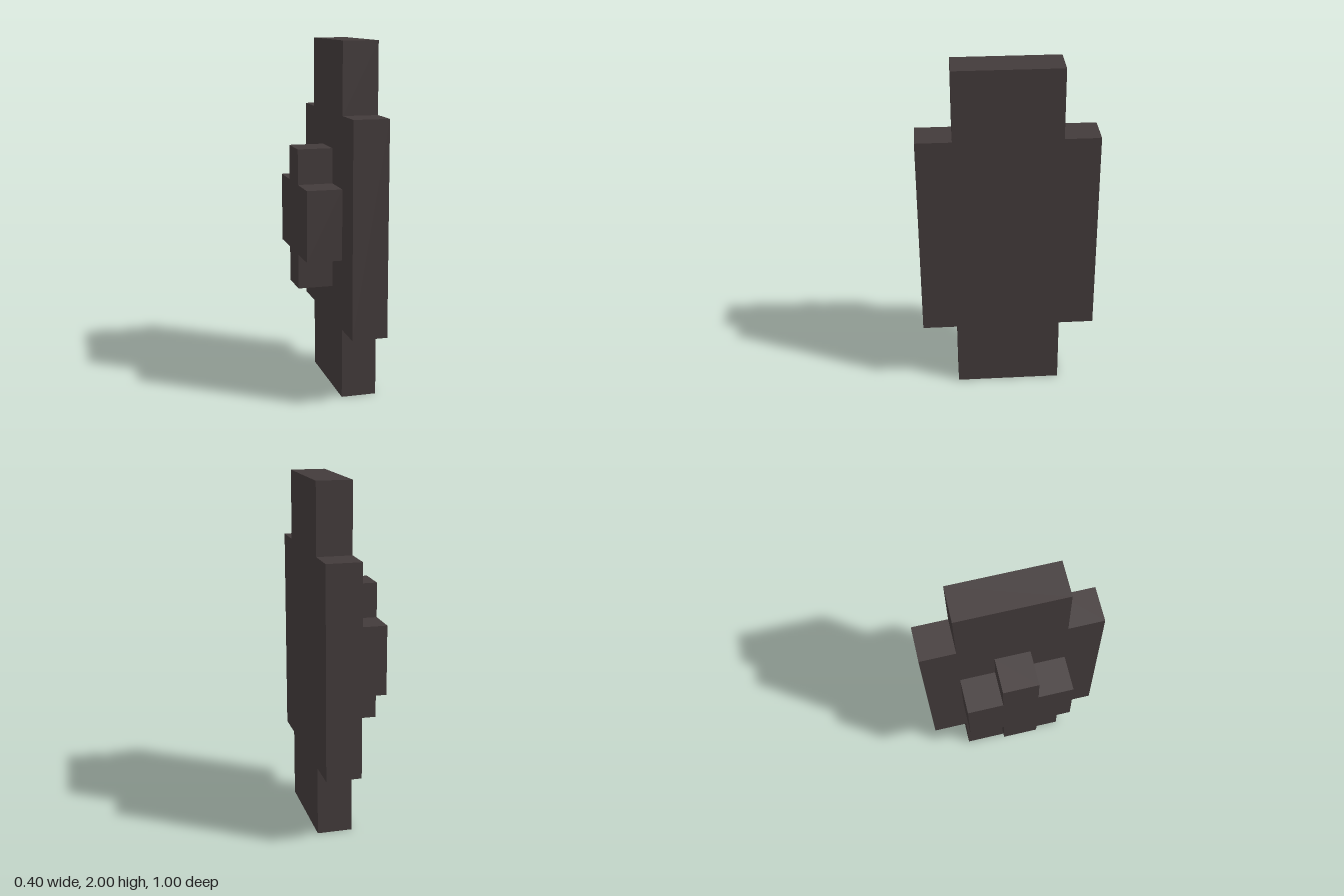
import * as THREE from 'three';

const charcoal = new THREE.MeshStandardMaterial({ color: 0x433b3b });
charcoal.name = 'charcoal';

// Stepped cross outline: a wide bar (w1 x h1) merged with a tall bar (w2 x h2), half sizes
function crossSlab(name, w1, h1, w2, h2, x, depth) {
  const quarter = [[w1, h1], [w2, h1], [w2, h2]];
  const mirrored = (sx, sy) => quarter.map(([a, b]) => new THREE.Vector2(a * sx, b * sy));
  const outline = [
    ...mirrored(1, 1),
    ...mirrored(-1, 1).reverse(),
    ...mirrored(-1, -1),
    ...mirrored(1, -1).reverse(),
  ];
  const geometry = new THREE.ExtrudeGeometry(new THREE.Shape(outline), { depth, bevelEnabled: false });
  geometry.rotateY(Math.PI / 2); // thickness runs along x
  const mesh = new THREE.Mesh(geometry, charcoal);
  mesh.name = name;
  mesh.position.set(x, 1, 0);
  return mesh;
}

export function createModel() {
  const model = new THREE.Group();
  model.name = 'shield';
  // Large upright plate with notched corners
  model.add(crossSlab('shieldPlate', 0.5, 0.6, 0.3, 1, 0, 0.2));
  // Small cross-shaped block on the plate's right side
  model.add(crossSlab('gripBlock', 0.3, 0.2, 0.1, 0.4, -0.2, 0.2));
  return model;
}
